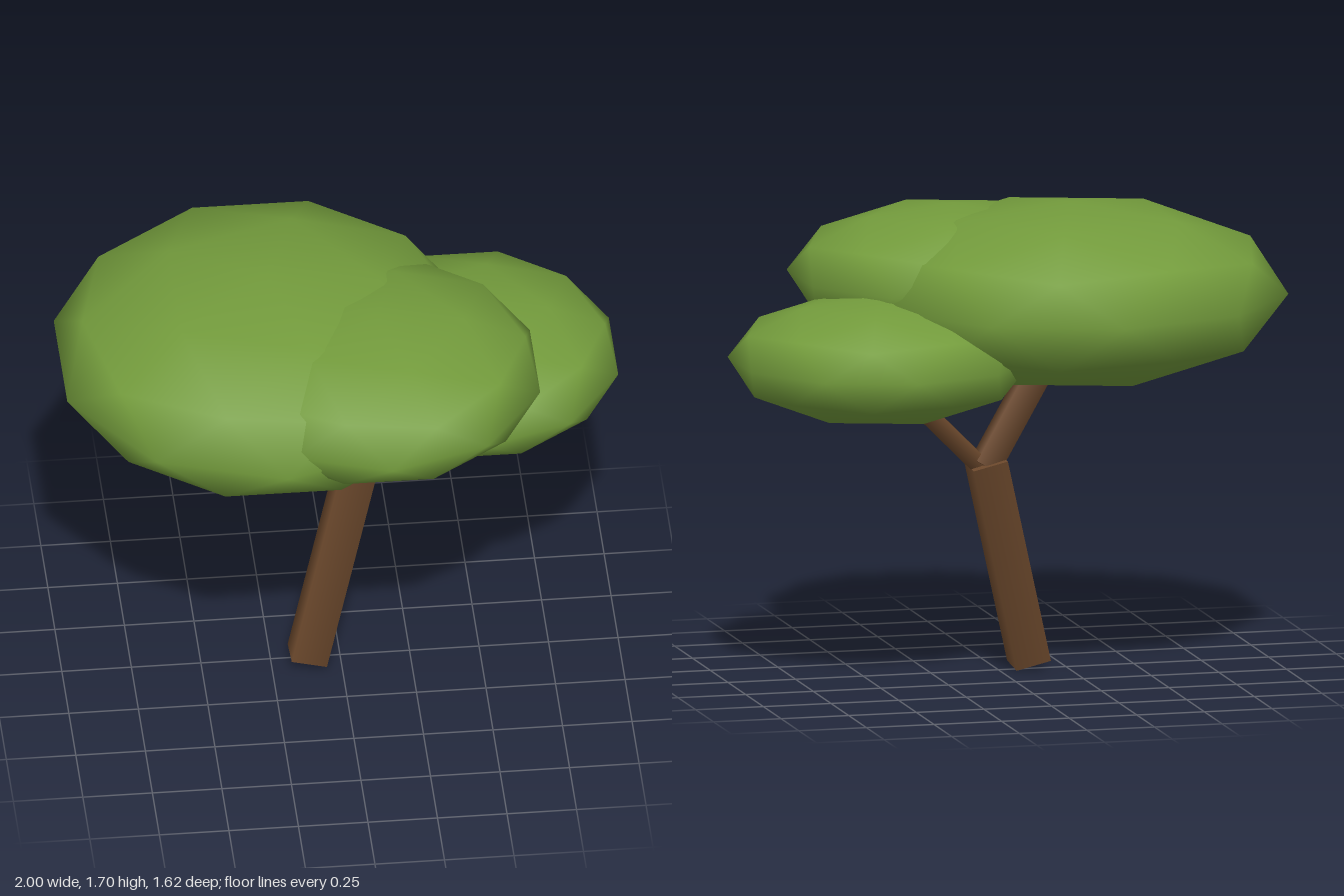
import * as THREE from 'three';

export function createModel() {
  const tree = new THREE.Group();
  tree.name = 'tree';

  const leafGreen = new THREE.MeshStandardMaterial({ color: 0x739b3c });
  leafGreen.name = 'leafGreen';
  const barkBrown = new THREE.MeshStandardMaterial({ color: 0x6b482c });
  barkBrown.name = 'barkBrown';

  // Four-sided, soft-shaded limb running from one point to another
  function addLimb(name, from, to, width) {
    const a = new THREE.Vector3(...from);
    const b = new THREE.Vector3(...to);
    const axis = b.clone().sub(a);
    const radius = width / Math.SQRT2;
    const geometry = new THREE.CylinderGeometry(radius, radius, axis.length(), 4);
    geometry.rotateY(Math.PI / 4);
    const limb = new THREE.Mesh(geometry, barkBrown);
    limb.name = name;
    limb.position.copy(a).add(b).multiplyScalar(0.5);
    limb.quaternion.setFromUnitVectors(new THREE.Vector3(0, 1, 0), axis.normalize());
    tree.add(limb);
  }

  // Flattened low-poly ball, turned so that one of its corners points up
  const poleTilt = Math.atan(2 / (1 + Math.sqrt(5)));
  function addCanopy(name, center, radius, halfHeight) {
    const geometry = new THREE.IcosahedronGeometry(1, 1);
    geometry.rotateZ(-poleTilt);
    geometry.scale(radius, halfHeight, radius);
    const canopy = new THREE.Mesh(geometry, leafGreen);
    canopy.name = name;
    canopy.position.set(...center);
    tree.add(canopy);
  }

  // Leaning trunk and its fork
  addLimb('trunk', [-0.12, 0.025, 0.025], [0.064, 0.775, -0.07], 0.13);
  addLimb('rightBranch', [0.07, 0.755, -0.072], [-0.176, 1.15, -0.015], 0.094);
  addLimb('leftBranch', [0.075, 0.75, -0.066], [0.4, 1.07, -0.155], 0.066);

  // Three overlapping crowns
  addCanopy('mainCanopy', [-0.26, 1.37, -0.03], 0.78, 0.33);
  addCanopy('frontCanopy', [0.11, 1.42, 0.205], 0.6, 0.25);
  addCanopy('leftCanopy', [0.48, 1.185, -0.165], 0.547, 0.229);

  return tree;
}
